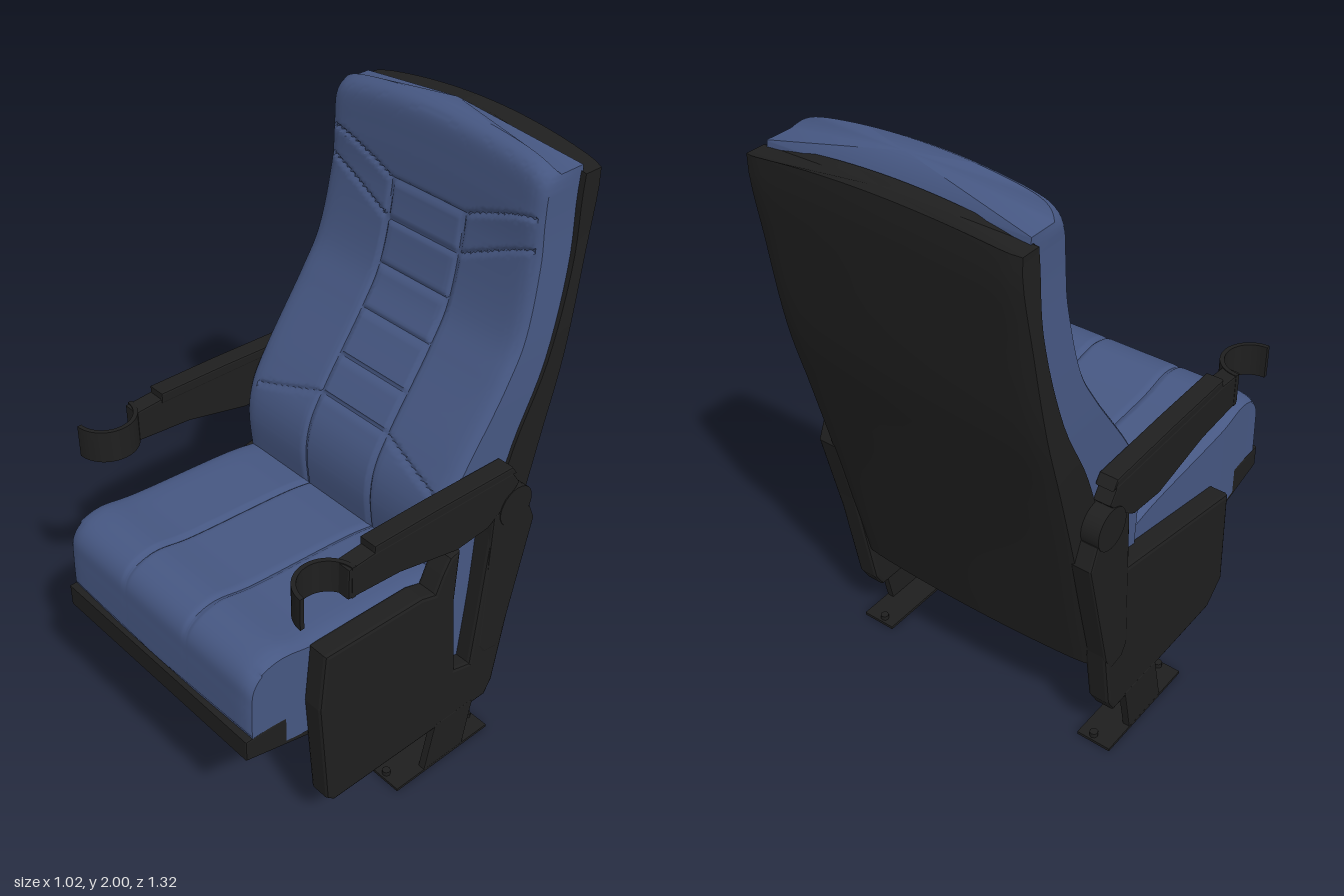
import * as THREE from 'three';
import { toCreasedNormals } from 'three/addons/utils/BufferGeometryUtils.js';

const fabric = new THREE.MeshStandardMaterial({ color: 0x465782 });
fabric.name = 'blue fabric';
const plastic = new THREE.MeshStandardMaterial({ color: 0x1f1f1f });
plastic.name = 'black plastic';

const { abs, max, min } = Math;
const step = (v, a, b) => THREE.MathUtils.smoothstep(v, a, b);

function mesh(name, geometry, material) {
  const m = new THREE.Mesh(geometry, material);
  m.name = name;
  return m;
}

// Closed slab lofted upwards. profile rows are [height, front z, back z];
// width(t) is the half width, front/back give surface offsets, drop arches the top.
function slab({ profile, rows, nf, nb, width, front, back = () => 0, drop = () => 0 }) {
  const curve = new THREE.CatmullRomCurve3(profile.map(p => new THREE.Vector3(...p)), false, 'centripetal');
  const n = nf + nb + 2, pos = [], idx = [];
  for (let j = 0; j <= rows; j++) {
    const p = curve.getPointAt(j / rows), w = width(p.x);
    const add = (s, z) => pos.push(s * w, p.x - drop(s, p.x), z);
    for (let i = 0; i <= nf; i++) {
      const s = -1 + 2 * i / nf;
      add(s, p.y - front(s, s * w, p.x));
    }
    for (let i = 0; i <= nb; i++) {
      const s = 1 - 2 * i / nb;
      add(s, p.z + back(s));
    }
  }
  for (let j = 0; j < rows; j++) {
    for (let i = 0; i < n; i++) {
      const a = j * n + i, b = j * n + (i + 1) % n;
      idx.push(a, b, b + n, a, b + n, a + n);
    }
  }
  // end caps
  for (const [j, top] of [[0, false], [rows, true]]) {
    const p = curve.getPointAt(j / rows), c = pos.length / 3;
    pos.push(0, p.x - drop(0.3, p.x), (p.y + p.z) / 2);
    for (let i = 0; i < n; i++) {
      const a = j * n + i, b = j * n + (i + 1) % n;
      if (top) idx.push(c, a, b);
      else idx.push(c, b, a);
    }
  }
  const g = new THREE.BufferGeometry();
  g.setAttribute('position', new THREE.Float32BufferAttribute(pos, 3));
  g.setIndex(idx);
  return g;
}

// Plate cut from a [z, y] outline and extruded along x from xa to xb
function plate(outline, xa, xb, bevel = 0.01) {
  const shape = new THREE.Shape(outline.map(([z, y]) => new THREE.Vector2(-z, y)));
  const lo = min(xa, xb), hi = max(xa, xb);
  const g = new THREE.ExtrudeGeometry(shape, {
    depth: hi - lo - 2 * bevel, bevelEnabled: bevel > 0, bevelSize: bevel,
    bevelThickness: bevel, bevelOffset: -bevel, bevelSegments: 2
  });
  return g.rotateY(Math.PI / 2).translate(lo + bevel, 0, 0);
}

// Stitched groove depth for a distance from its centre line
const groove = d => 0.011 * max(0, 1 - abs(d) / 0.013);

function backSeams(s, x, y) {
  const a = abs(x), inner = a < 0.145;
  const out = max(0, a - 0.145);
  let g = 0;
  if (y < 1.72) g = groove(a - 0.145);
  if (inner) for (const h of [1.2, 1.33, 1.46, 1.6]) g = max(g, groove(y - h));
  if (a < 0.4) {
    g = max(g, groove(y - 1.725 - out * 0.45), groove(y - 1.09 + out * 0.3));
    if (!inner) g = max(g, groove(y - 1.6 - out * 0.48));
  }
  return g + 0.022 * s ** 24;
}

function createModel() {
  const chair = new THREE.Group();
  chair.name = 'cinemaSeat';

  // Backrest cushion
  const cushion = slab({
    profile: [[0.37, -0.115, -0.2], [0.7, -0.085, -0.25], [0.9, -0.066, -0.32], [1.0, -0.085, -0.36],
      [1.1, -0.14, -0.4], [1.33, -0.295, -0.5], [1.45, -0.36, -0.53], [1.68, -0.408, -0.565],
      [1.85, -0.413, -0.575], [1.96, -0.42, -0.575], [1.985, -0.435, -0.572], [2.0, -0.46, -0.57]],
    rows: 190, nf: 114, nb: 1,
    width: y => 0.448 - 0.008 * step(y, 0.6, 1) - 0.022 * step(y, 1.2, 1.9),
    front: backSeams,
    drop: (s, y) => (0.045 * s * s + 0.03 * s ** 14) * step(y, 1.6, 2)
  });
  chair.add(mesh('backrestCushion', toCreasedNormals(cushion, 0.7), fabric));

  // Rear shell
  const shell = slab({
    profile: [[0.36, -0.2, -0.335], [0.76, -0.26, -0.425], [1.1, -0.36, -0.51], [1.35, -0.475, -0.575],
      [1.65, -0.55, -0.625], [1.88, -0.56, -0.655], [1.945, -0.565, -0.655]],
    rows: 30, nf: 20, nb: 30,
    width: y => 0.45 - 0.014 * step(y, 1.2, 1.9),
    front: () => 0,
    back: s => 0.018 * s * s + 0.01 * s ** 20,
    drop: (s, y) => 0.04 * s * s * step(y, 1.6, 1.94)
  });
  chair.add(mesh('backShell', toCreasedNormals(shell, 0.6), plastic));

  // Seat cushion, lofted from front to rear and laid flat
  const seat = slab({
    profile: [[-0.648, 0.6, 0.565], [-0.645, 0.7, 0.55], [-0.638, 0.77, 0.53], [-0.605, 0.812, 0.5],
      [-0.53, 0.835, 0.48], [-0.4, 0.815, 0.46], [0, 0.785, 0.46], [0.11, 0.765, 0.5]],
    rows: 70, nf: 110, nb: 1,
    width: t => 0.432 + 0.005 * step(t, -0.6, -0.4),
    front: (s, x) => groove(abs(x) - 0.145) + 0.02 * s ** 20,
    drop: (s, t) => t < -0.6 ? -0.012 * s ** 20 : 0
  }).rotateX(-Math.PI / 2);
  chair.add(mesh('seatCushion', toCreasedNormals(seat, 0.7), fabric));

  // Seat pan with a hump below
  chair.add(mesh('seatPan', plate([[0.66, 0.575], [0.66, 0.5], [0.42, 0.435], [0, 0.42],
    [-0.075, 0.46], [-0.07, 0.57]], -0.434, 0.434, 0.006), plastic));
  chair.add(mesh('seatPanHump', plate([[0.44, 0.46], [0.3, 0.385], [0, 0.36], [-0.08, 0.36],
    [-0.11, 0.45]], -0.422, 0.422, 0.012), plastic));

  // Side panels: the left one is taller, the right one is low
  chair.add(mesh('leftSidePanel', plate([[0.425, 0.803], [0.05, 0.79], [-0.005, 0.772], [-0.03, 0.83],
    [-0.06, 0.88], [-0.1, 0.89], [-0.09, 0.7], [-0.115, 0.39], [-0.18, 0.37], [-0.2, 0.55],
    [-0.235, 0.9], [-0.3, 0.92], [-0.4, 0.8], [-0.3, 0.22], [-0.27, 0.168], [0.39, 0.176],
    [0.415, 0.2], [0.445, 0.6]], 0.428, 0.505, 0.012), plastic));
  chair.add(mesh('rightSidePanel', plate([[0.35, 0.61], [-0.22, 0.72], [-0.37, 0.75], [-0.3, 0.22],
    [-0.27, 0.168], [0.28, 0.176], [0.36, 0.25]], -0.428, -0.505, 0.012), plastic));

  for (const k of [1, -1]) {
    const side = new THREE.Group();
    side.name = k > 0 ? 'leftSide' : 'rightSide';
    chair.add(side);
    const add = (name, g) => side.add(mesh(name, g, plastic));

    // Upright joining the back to the side panel
    add('upright', plate([[-0.235, 0.95], [-0.215, 0.42], [-0.24, 0.38], [-0.3, 0.37],
      [-0.325, 0.42], [-0.42, 0.84], [-0.39, 0.91]], k * 0.435, k * 0.507, 0.008));

    // Armrest, pad and pivot
    add('armrest', plate([[0.345, 1.078], [0.24, 1.085], [-0.3, 1.07], [-0.335, 1.02], [-0.27, 0.95],
      [-0.21, 0.91], [-0.08, 0.9], [0.15, 0.955], [0.345, 0.972]], k * 0.447, k * 0.506, 0.006));
    add('armPad', plate([[0.25, 1.107], [0, 1.102], [-0.3, 1.09], [-0.32, 1.06], [0.25, 1.07]],
      k * 0.443, k * 0.505, 0.006));
    const pivot = new THREE.CylinderGeometry(0.068, 0.068, 0.07, 24).rotateZ(Math.PI / 2);
    add('armPivot', pivot.translate(k * 0.474, 0.935, -0.325));

    // Half-ring cup holder open to the outside
    const a0 = k > 0 ? Math.PI / 2 : -Math.PI / 2;
    const ring = new THREE.Shape();
    ring.absarc(k * 0.507, -0.42, 0.1, a0, a0 + Math.PI, false);
    ring.absarc(k * 0.507, -0.42, 0.086, a0 + Math.PI, a0, true);
    const cup = new THREE.ExtrudeGeometry(ring, { depth: 0.11, bevelEnabled: false, curveSegments: 16 });
    add('cupHolder', toCreasedNormals(cup.rotateX(-Math.PI / 2).translate(0, 0.972, 0), 0.6));

    // Leg, floor plate and bolts
    add('leg', plate([[-0.04, 0.19], [-0.21, 0.19], [-0.175, 0.008], [0, 0.008]], k * 0.48, k * 0.506, 0.003));
    add('footPlate', new THREE.BoxGeometry(0.12, 0.01, 0.41).translate(k * 0.446, 0.005, -0.085));
    for (const z of [0.1, -0.27]) {
      add('bolt', new THREE.CylinderGeometry(0.014, 0.014, 0.02, 8).translate(k * 0.435, 0.016, z));
    }
  }
  return chair;
}

export { createModel };
